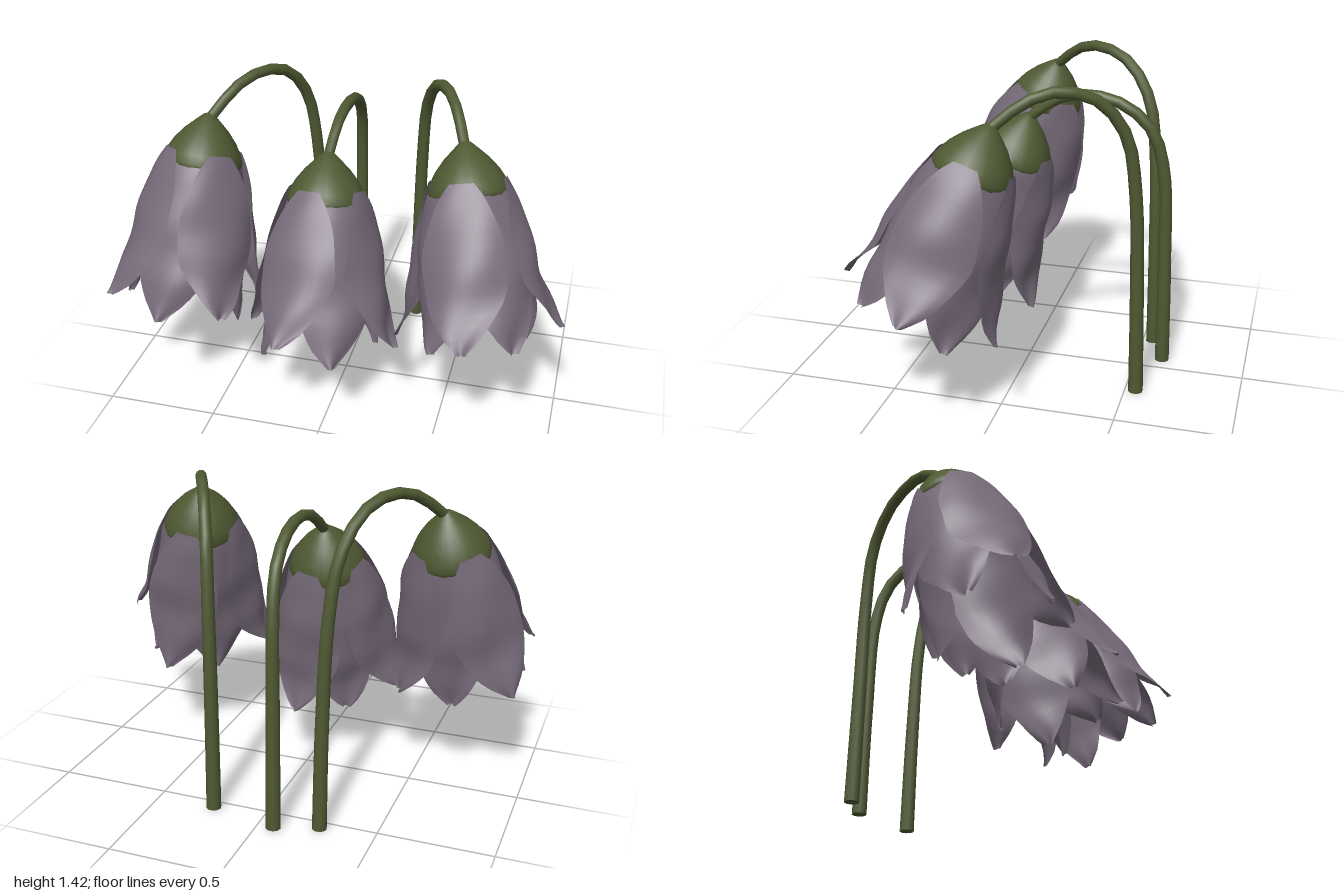
import * as THREE from 'three';

const petalMat = new THREE.MeshStandardMaterial({ color: 0x766a79, side: THREE.DoubleSide });
petalMat.name = 'dusky mauve';
const greenMat = new THREE.MeshStandardMaterial({ color: 0x4e5932 });
greenMat.name = 'leaf green';

const V = (a) => new THREE.Vector3(...a);
const curve2 = (pts) => new THREE.SplineCurve(pts.map((p) => new THREE.Vector2(...p)));

// petal side profiles (distance from axis, height below the apex) and half-width along the length
const outerSide = curve2([[0.162, -0.15], [0.198, -0.24], [0.242, -0.38], [0.272, -0.53], [0.305, -0.68], [0.355, -0.81]]);
const innerSide = curve2([[0.155, -0.165], [0.182, -0.26], [0.215, -0.42], [0.235, -0.58], [0.248, -0.73], [0.26, -0.87]]);
const halfWidth = curve2([[0, 0.05], [0.05, 0.095], [0.2, 0.14], [0.4, 0.178], [0.58, 0.188], [0.75, 0.163], [0.9, 0.1], [1, 0.018]]);

function makePetal(side, seed, stretch, name) {
  const geo = new THREE.PlaneGeometry(2, 1, 10, 18);
  const p = geo.attributes.position;
  for (let i = 0; i < p.count; i++) {
    const u = p.getX(i), v = 0.5 - p.getY(i);
    const s = side.getPoint(v);
    // ragged edge and gentle ripples that grow toward the tip
    const w = halfWidth.getPoint(v).y * (1 + 0.05 * v * Math.sin(v * 19 + seed * 2.1 + u));
    const a = (u * w) / 0.29;
    const ripple = 0.01 * v * Math.sin(u * 3 + v * 9 + seed * 1.7) + 0.006 * v * Math.sin(v * 21 + seed);
    p.setXYZ(i,
      0.29 * Math.sin(a) + 0.02 * v * v * Math.sin(seed * 2.7),
      s.y - (stretch - 1) * 0.7 * v,
      s.x - 0.29 * (1 - Math.cos(a)) + ripple);
  }
  geo.computeVertexNormals();
  const m = new THREE.Mesh(geo, petalMat);
  m.name = name;
  return m;
}

// egg-shaped green cap, closed underneath
function makeCap() {
  const pts = [[0, 0.012], [0.022, 0.005], [0.055, -0.025], [0.097, -0.065], [0.137, -0.115], [0.162, -0.16],
    [0.174, -0.195], [0.168, -0.22], [0.13, -0.245], [0.07, -0.26], [0, -0.265]];
  const geo = new THREE.LatheGeometry(pts.reverse().map((q) => new THREE.Vector2(...q)), 24);
  const m = new THREE.Mesh(geo, greenMat);
  m.name = 'cap';
  return m;
}

function makeBloom({ apex, lean, spin, seed }) {
  const g = new THREE.Group();
  g.name = 'bloom';
  const spinner = new THREE.Group();
  spinner.name = 'petals';
  spinner.rotation.y = spin;
  // four outer petals with four inner ones filling the gaps
  for (let i = 0; i < 4; i++) {
    const outer = makePetal(outerSide, seed + i, 1 + 0.02 * Math.sin(seed + i * 2.3), 'outerPetal');
    outer.rotation.y = (i / 4) * Math.PI * 2;
    const inner = makePetal(innerSide, seed + i + 7, 1 + 0.03 * Math.sin(seed * 2 + i * 1.9), 'innerPetal');
    inner.rotation.y = ((i + 0.5) / 4) * Math.PI * 2;
    spinner.add(outer, inner);
  }
  g.add(makeCap(), spinner);
  g.position.set(...apex);
  g.quaternion.setFromUnitVectors(new THREE.Vector3(0, -1, 0), V([lean[0], -1, lean[1]]).normalize());
  return g;
}

// arched stem, thinner toward the bloom
function makeStem(points) {
  const path = new THREE.CatmullRomCurve3(points.map(V));
  const rings = 20, sides = 10;
  const geo = new THREE.TubeGeometry(path, rings, 1, sides, false);
  const p = geo.attributes.position, q = new THREE.Vector3();
  for (let i = 0; i < p.count; i++) {
    const t = Math.floor(i / (sides + 1)) / rings;
    const c = path.getPointAt(t);
    q.fromBufferAttribute(p, i).sub(c).multiplyScalar(0.033 - 0.01 * t).add(c);
    p.setXYZ(i, q.x, q.y, q.z);
  }
  const g = new THREE.Group();
  g.name = 'stem';
  const tube = new THREE.Mesh(geo, greenMat);
  tube.name = 'stalk';
  const end = new THREE.Mesh(new THREE.CircleGeometry(0.033, sides), greenMat);
  end.name = 'stalkEnd';
  end.position.set(...points[0]);
  end.rotation.x = Math.PI / 2;
  g.add(tube, end);
  return g;
}

const flowers = [
  {
    name: 'rightFlower', apex: [-0.61, 1.275, 0.025], lean: [-0.09, 0.33], spin: Math.PI / 4, seed: 1,
    stem: [[-0.258, 0.005, -0.548], [-0.263, 0.5, -0.537], [-0.28, 0.95, -0.518], [-0.31, 1.2, -0.475],
      [-0.365, 1.35, -0.37], [-0.44, 1.4, -0.23], [-0.52, 1.37, -0.1], [-0.6, 1.27, 0.02]],
  },
  {
    name: 'middleFlower', apex: [-0.07, 1.155, 0.025], lean: [0.04, 0.37], spin: -0.24, seed: 4,
    stem: [[-0.075, 0.01, -0.619], [-0.075, 0.5, -0.61], [-0.07, 0.95, -0.588], [-0.061, 1.13, -0.53],
      [-0.055, 1.235, -0.41], [-0.055, 1.273, -0.25], [-0.062, 1.245, -0.11], [-0.07, 1.15, 0.02]],
  },
  {
    name: 'leftFlower', apex: [0.52, 1.275, 0.025], lean: [0.19, 0.36], spin: 0, seed: 9,
    stem: [[0.234, 0.005, -0.548], [0.236, 0.5, -0.537], [0.245, 0.95, -0.518], [0.265, 1.2, -0.475],
      [0.32, 1.35, -0.37], [0.395, 1.4, -0.23], [0.46, 1.365, -0.1], [0.515, 1.27, 0.02]],
  },
];

export function createModel() {
  const model = new THREE.Group();
  model.name = 'noddingFlowers';
  for (const f of flowers) {
    const g = new THREE.Group();
    g.name = f.name;
    g.add(makeStem(f.stem), makeBloom(f));
    model.add(g);
  }
  return model;
}
